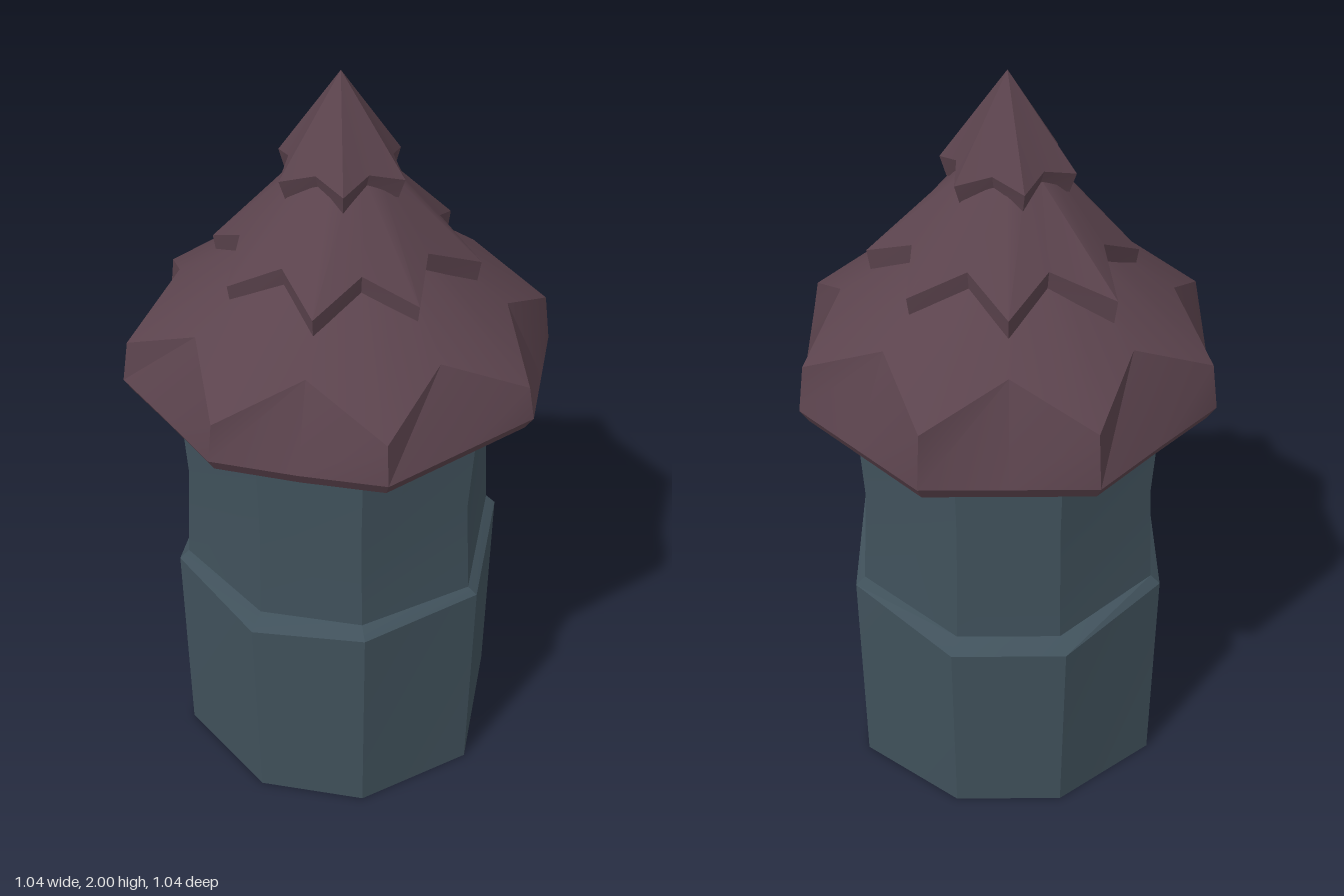
import * as THREE from 'three';
import { toCreasedNormals } from 'three/addons/utils/BufferGeometryUtils.js';

// Skin a stack of equal-length rings (bottom to top); optional centre points close the ends.
function loft(rings, { bottom, top, crease = 0.5 } = {}) {
  const n = rings[0].length;
  const pos = rings.flat(2);
  const index = [];
  for (let i = 0; i < rings.length - 1; i++) {
    for (let j = 0; j < n; j++) {
      const a = i * n + j, b = i * n + (j + 1) % n;
      index.push(a, b, b + n, a, b + n, a + n);
    }
  }
  const cap = (centre, start, up) => {
    const c = pos.length / 3;
    pos.push(...centre);
    for (let j = 0; j < n; j++) {
      const a = start + j, b = start + (j + 1) % n;
      index.push(c, up ? a : b, up ? b : a);
    }
  };
  if (bottom) cap(bottom, 0, false);
  if (top) cap(top, (rings.length - 1) * n, true);
  const g = new THREE.BufferGeometry();
  g.setAttribute('position', new THREE.Float32BufferAttribute(pos, 3));
  g.setIndex(index);
  return toCreasedNormals(g, crease);
}

// Ring whose even points use (rEven, yEven) and odd points (rOdd, yOdd).
function starRing(n, rEven, yEven, rOdd, yOdd, turn = 0, wobble = () => [0, 0]) {
  return Array.from({ length: n }, (_, k) => {
    const a = turn + (k / n) * Math.PI * 2;
    const [dr, dy] = wobble(k);
    const r = (k % 2 ? rOdd : rEven) + dr;
    return [r * Math.sin(a), (k % 2 ? yOdd : yEven) + dy, r * Math.cos(a)];
  });
}

// Eight-sided wall ring: front/back corners at x = xn, side corners at x = xw, z = zs.
function wallRing(xn, xw, zs, zFront, zBack, y) {
  const p = [[xn, zFront], [xw, zs], [xw, -zs], [xn, -zBack],
    [-xn, -zBack], [-xw, -zs], [-xw, zs], [-xn, zFront]];
  return p.map(([x, z], i) => [x, Array.isArray(y) ? y[i] : y, z]);
}

export function createModel() {
  const stone = new THREE.MeshStandardMaterial({ color: 0x40515b });
  stone.name = 'blue grey stone';
  const tile = new THREE.MeshStandardMaterial({ color: 0x5b434d });
  tile.name = 'plum roof tile';

  const model = new THREE.Group();
  model.name = 'tower';
  const add = (name, geometry, material) => {
    const mesh = new THREE.Mesh(geometry, material);
    mesh.name = name;
    model.add(mesh);
  };

  // Wide foot with a bevelled, uneven ledge
  const ledge = [0.63, 0.63, 0.62, 0.56, 0.56, 0.62, 0.62, 0.61];
  const ledgeTop = [0.65, 0.65, 0.645, 0.59, 0.59, 0.645, 0.65, 0.65];
  add('base', loft([
    wallRing(0.145, 0.405, 0.205, 0.42, 0.405, 0),
    wallRing(0.15, 0.41, 0.205, 0.44, 0.425, ledge),
    wallRing(0.135, 0.385, 0.2, 0.4, 0.38, ledgeTop),
  ], { bottom: [0, 0, 0], crease: 0.35 }), stone);

  // Slightly waisted upper wall
  add('upperWall', loft([
    wallRing(0.135, 0.385, 0.2, 0.4, 0.38, ledgeTop),
    wallRing(0.13, 0.37, 0.195, 0.395, 0.375, 0.92),
    wallRing(0.135, 0.39, 0.2, 0.4, 0.38, 1.27),
  ], { top: [0, 1.27, 0], crease: 0.35 }), stone);

  // Eaves droop unevenly, lowest at the back
  const droop = [0.005, 0.005, 0.015, 0.025, 0.005, -0.015, -0.025, -0.035,
    -0.035, -0.035, -0.02, -0.01, -0.005, 0, 0.01, 0.015];
  const sag = (k) => [0, droop[k]];
  const c = Math.cos(Math.PI / 8);
  add('lowerRoof', loft([
    starRing(16, 0.37, 1.25, 0.4, 1.25),
    starRing(16, 0.54 * c, 1.175, 0.54, 1.175, 0, sag),
    starRing(16, 0.562 * c, 1.21, 0.562, 1.21, 0, sag),
    starRing(16, 0.42, 1.42, 0.545, 1.32),
    starRing(16, 0.2, 1.58, 0.2, 1.58),
  ], { crease: 0.45 }), tile);

  // Middle tier with eight drooping points
  const ragged = (k) => [[0.005, 0, -0.003, 0, 0.015, 0, 0.005, 0,
    0.012, 0, 0.03, 0, -0.008, 0, -0.008, 0][k], 0];
  add('middleRoof', loft([
    starRing(16, 0.325, 1.465, 0.24, 1.53, 0, ragged),
    starRing(16, 0.335, 1.53, 0.25, 1.595, 0, ragged),
    starRing(16, 0.11, 1.76, 0.11, 1.76),
  ], { crease: 0.5 }), tile);

  // Six-pointed cap and spire
  const turn = THREE.MathUtils.degToRad(13);
  add('spire', loft([
    starRing(12, 0.155, 1.71, 0.11, 1.74, turn),
    starRing(12, 0.172, 1.76, 0.125, 1.785, turn),
  ], { bottom: [0, 1.74, 0], top: [0, 2, 0], crease: 0.6 }), tile);

  return model;
}
